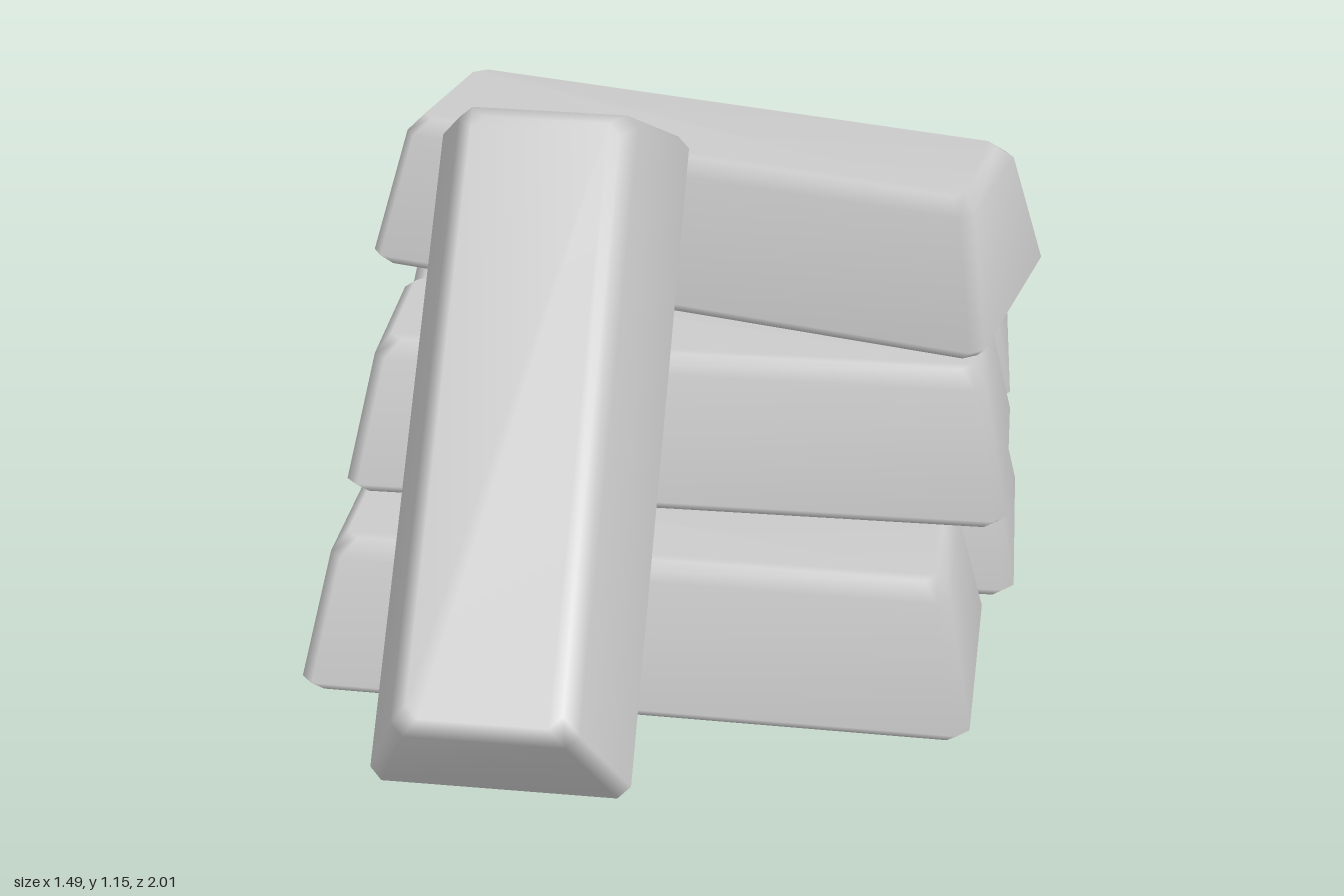
import * as THREE from 'three';

// Cross-sections of one bar from bottom to top: height, half length, half width
const RINGS = [
  [0, 0.67, 0.24],
  [0.025, 0.69, 0.26],
  [0.285, 0.635, 0.182],
  [0.317, 0.605, 0.15],
];
const CHAMFER = 0.025;

// Tapered bar with softened edges, its length along x
function barGeometry() {
  const positions = [];
  const index = [];
  for (const [y, l, w] of RINGS) {
    const c = CHAMFER;
    const outline = [
      [l, w - c], [l - c, w], [-l + c, w], [-l, w - c],
      [-l, -w + c], [-l + c, -w], [l - c, -w], [l, -w + c],
    ];
    for (const [x, z] of outline) positions.push(x, y, z);
  }
  // Side walls
  for (let r = 0; r < RINGS.length - 1; r++) {
    for (let i = 0; i < 8; i++) {
      const a = r * 8 + i;
      const b = r * 8 + (i + 1) % 8;
      index.push(a, a + 8, b, b, a + 8, b + 8);
    }
  }
  // Bottom and top caps
  const top = (RINGS.length - 1) * 8;
  for (let i = 1; i < 7; i++) {
    index.push(0, i, i + 1);
    index.push(top, top + i + 1, top + i);
  }
  const geometry = new THREE.BufferGeometry();
  geometry.setAttribute('position', new THREE.Float32BufferAttribute(positions, 3));
  geometry.setIndex(index);
  geometry.computeVertexNormals();
  return geometry;
}

export function createModel() {
  const group = new THREE.Group();
  const geometry = barGeometry();
  const material = new THREE.MeshStandardMaterial({ color: 0xcccccc });

  const addBar = (name, x, y, z, turn = 0) => {
    const bar = new THREE.Mesh(geometry, material);
    bar.name = name;
    bar.position.set(x, y, z);
    bar.rotation.y = turn;
    group.add(bar);
    return bar;
  };

  // Stacked bars, each slightly turned
  addBar('bottomBarBack', -0.005, 0.005, -0.735, 0.014);
  addBar('bottomBarMiddle', 0.03, 0.005, -0.21, -0.008);
  addBar('bottomBarFront', -0.05, 0.005, 0.325, -0.044);
  addBar('middleBarBack', 0, 0.325, -0.487, 0.016);
  addBar('middleBarFront', 0, 0.325, 0.035, -0.016);
  addBar('topBar', 0.018, 0.643, -0.247, -0.257);

  // Bar leaning against the front of the stack
  const leaning = addBar('leaningBar', -0.277, 0.49, 0.355);
  const along = new THREE.Vector3(0.018, 0.729, -0.685).normalize();
  const up = new THREE.Vector3(0, 0.685, 0.729).normalize();
  const across = new THREE.Vector3().crossVectors(along, up);
  leaning.quaternion.setFromRotationMatrix(new THREE.Matrix4().makeBasis(along, up, across));

  return group;
}
